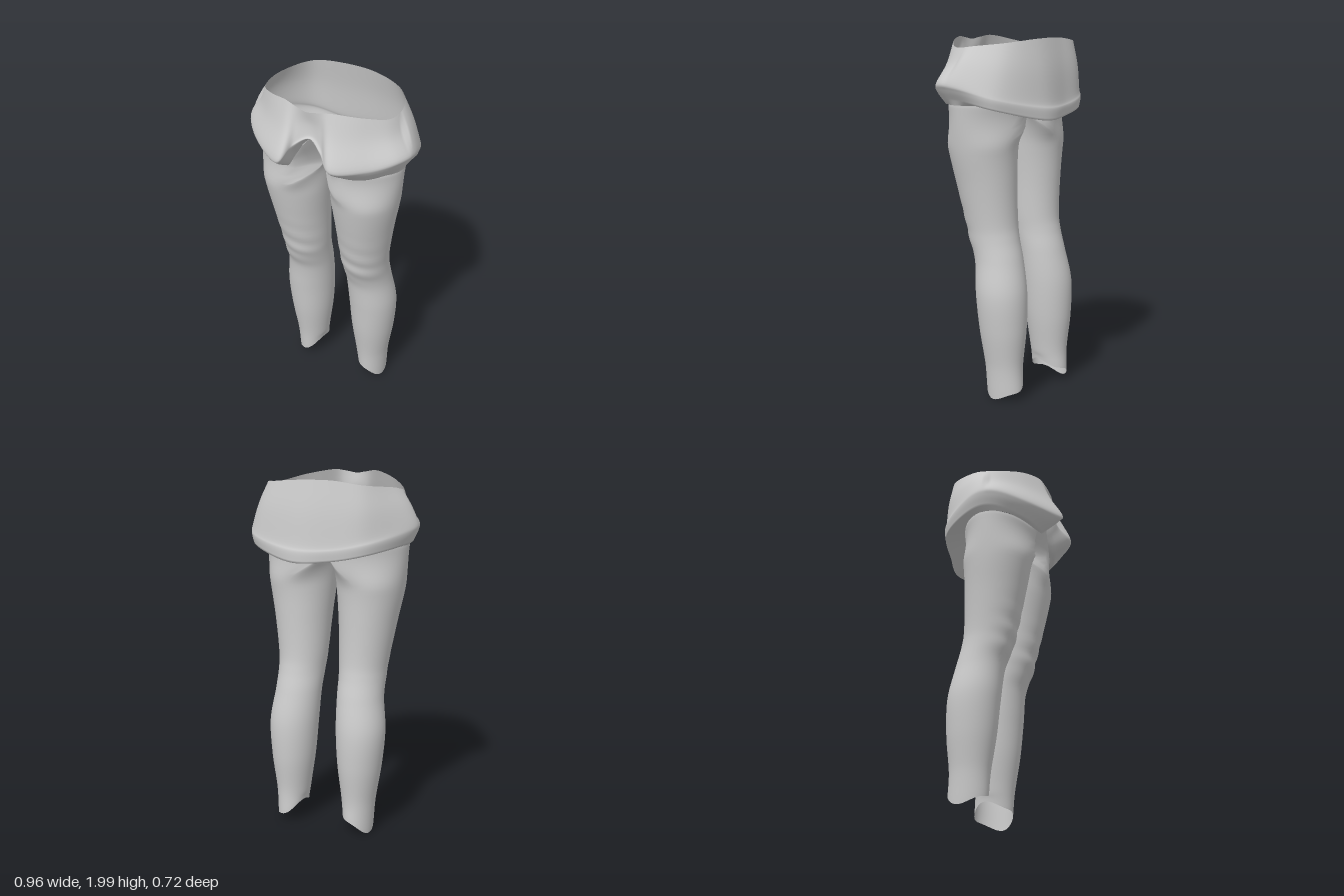
import * as THREE from 'three';

const material = new THREE.MeshStandardMaterial({ color: 0xcccccc, side: THREE.DoubleSide });

// Joins rows of points (each row a closed ring) into one smooth surface.
function loft(name, rows, keep = () => true) {
  const n = rows[0].length;
  const positions = rows.flat().flatMap((p) => [p.x, p.y, p.z]);
  const index = [];
  for (let r = 0; r < rows.length - 1; r++) {
    for (let i = 0; i < n; i++) {
      if (!keep(r, i)) continue;
      const j = (i + 1) % n;
      const a = r * n + i, b = r * n + j, c = a + n, d = b + n;
      index.push(a, b, d, a, d, c);
    }
  }
  const geometry = new THREE.BufferGeometry();
  geometry.setAttribute('position', new THREE.Float32BufferAttribute(positions, 3));
  geometry.setIndex(index);
  geometry.computeVertexNormals();
  const mesh = new THREE.Mesh(geometry, material);
  mesh.name = name;
  return mesh;
}

// Trouser sections: height, inner x, outer x, front z, back z.
const TOP = { y: 1.64, x: 0.425, front: 0.215, back: -0.235 };
const SECTIONS = [
  [0.07, 0.125, 0.29, -0.05, -0.27],
  [0.2, 0.112, 0.303, -0.04, -0.265],
  [0.4, 0.085, 0.333, -0.01, -0.282],
  [0.6, 0.07, 0.347, 0.01, -0.28],
  [0.78, 0.063, 0.325, 0.03, -0.245],
  [0.9, 0.058, 0.322, 0.075, -0.215],
  [1.0, 0.05, 0.33, 0.1, -0.2],
  [1.2, 0.038, 0.362, 0.145, -0.195],
  [1.4, 0.018, 0.4, 0.185, -0.2],
  [1.6, 0, 0.422, 0.213, -0.232],
  [TOP.y, 0, TOP.x, TOP.front, TOP.back],
];
const STEPS = 8;
const CROTCH_ROW = 9 * STEPS;
const AROUND = 48;

// The joining line of legs and hips rises to an arch at the front centre.
const archRise = (x, cos) => (cos > 0 ? 0.17 * Math.exp(-((x / 0.08) ** 2)) : 0);

// One trouser leg; above the crotch only the outer half of the ring remains.
function trouserLeg(name, side) {
  const curve = (pick) => new THREE.CatmullRomCurve3(
    SECTIONS.map((s) => new THREE.Vector3(...pick(s))), false, 'catmullrom', 0.5);
  const xs = curve(([y, a, b]) => [a, b, y]);
  const zs = curve(([, , , f, b]) => [f, b, 0]);
  const total = (SECTIONS.length - 1) * STEPS;
  const rows = [];
  for (let r = 0; r <= total; r++) {
    const { x: inner, y: outer, z: y } = xs.getPoint(r / total);
    const { x: front, y: back } = zs.getPoint(r / total);
    const hips = r >= CROTCH_ROW;
    const lift = hips ? (r - CROTCH_ROW) / STEPS : 0;
    const cx = hips ? 0 : ((inner + outer) / 2) * (1 - THREE.MathUtils.smoothstep(y, 1.4, 1.6));
    const inX = hips ? 0 : Math.max(0, inner);
    const groove = THREE.MathUtils.smoothstep(y, 1.38, 1.6) * (1 - lift);
    const ragged = 1 - THREE.MathUtils.smoothstep(y, 0.06, 0.2);
    const knee = Math.exp(-(((y - 0.98) / 0.14) ** 2));
    const row = [];
    for (let i = 0; i < AROUND; i++) {
      // Starts at the front, runs round the outside to the back, returns inside.
      const a = (i / AROUND) * Math.PI * 2;
      const s = Math.sin(a), c = Math.cos(a);
      const x = cx + s * (s > 0 ? outer - cx : cx - inX);
      // The thighs round off towards the middle.
      const hollow = groove * (c > 0 ? 0.6 : 0.35) * (1 - THREE.MathUtils.smoothstep(x, 0, 0.14));
      // Creases across the knee and a torn cuff.
      const crease = 0.004 * knee * Math.max(0, c) * Math.sin(y * 55 + s * 2 * side + side);
      const z = (front + back) / 2 + c * (1 - hollow) * (front - back) / 2 + crease;
      const dy = ragged * (-0.055 * s + 0.012 * Math.sin(3 * a + side)) + lift * archRise(x, c);
      row.push(new THREE.Vector3(side * x, y + dy, z));
    }
    rows.push(side > 0 ? row : row.reverse());
  }
  const innerFace = (i) => (side > 0 ? i >= AROUND / 2 : i < AROUND / 2 - 1 || i === AROUND - 1);
  return loft(name, rows, (r, i) => r < CROTCH_ROW || !innerFace(i));
}

// Rings of the hips, from the front centre round by +x: waist rim, widest flare, hem fold.
const WAIST = [
  [0, 1.98, 0.25], [0.07, 1.99, 0.245], [0.14, 1.995, 0.225], [0.27, 1.97, 0.15], [0.365, 1.94, 0.04],
  [0.37, 1.95, -0.1], [0.28, 1.965, -0.23], [0.1, 1.985, -0.29], [-0.1, 1.99, -0.285], [-0.27, 1.97, -0.26],
  [-0.37, 1.95, -0.1], [-0.38, 1.93, 0.03], [-0.27, 1.97, 0.15], [-0.14, 2.0, 0.22], [-0.06, 1.99, 0.243],
];
const FLARE = [
  [0.02, 1.85, 0.25], [0.09, 1.81, 0.265], [0.18, 1.74, 0.33], [0.33, 1.74, 0.22], [0.45, 1.76, 0.1],
  [0.475, 1.75, -0.05], [0.38, 1.7, -0.25], [0.12, 1.66, -0.345], [-0.1, 1.66, -0.33], [-0.3, 1.7, -0.285],
  [-0.46, 1.75, -0.09], [-0.462, 1.76, 0.05], [-0.33, 1.74, 0.21], [-0.12, 1.73, 0.355], [-0.06, 1.81, 0.28],
];
const HEM = [
  [0.02, 1.82, 0.225], [0.08, 1.74, 0.235], [0.15, 1.64, 0.225], [0.29, 1.63, 0.18], [0.41, 1.66, 0.08],
  [0.435, 1.66, -0.05], [0.39, 1.62, -0.24], [0.12, 1.56, -0.36], [-0.1, 1.57, -0.335], [-0.3, 1.61, -0.285],
  [-0.44, 1.65, -0.09], [-0.43, 1.66, 0.05], [-0.29, 1.63, 0.18], [-0.13, 1.62, 0.235], [-0.07, 1.73, 0.24],
];

function hips() {
  const count = 120;
  const [waist, flare, hem] = [WAIST, FLARE, HEM].map((ring) =>
    new THREE.CatmullRomCurve3(ring.map((p) => new THREE.Vector3(...p)), true, 'catmullrom', 0.5));
  const zMid = (TOP.front + TOP.back) / 2, zRadius = (TOP.front - TOP.back) / 2;
  const columns = [], seam = [];
  for (let i = 0; i < count; i++) {
    const t = i / count;
    const w = waist.getPoint(t), f = flare.getPoint(t), h = hem.getPoint(t);
    // Hollow above the front folds, full over the seat.
    const m = w.clone().lerp(f, 0.5);
    const swell = m.z > 0 ? 0.97 : 1.02;
    m.x *= swell;
    m.z *= swell;
    // Soft roll under the flare.
    const roll = f.clone().lerp(h, 0.42);
    roll.x *= 1.02;
    roll.z *= roll.z > 0 ? 1.09 : 1.02;
    columns.push(new THREE.CatmullRomCurve3([w, m, f, roll, h], false, 'catmullrom', 0.5));
    // The underside runs in to the top of the legs.
    const a = Math.atan2(h.x / TOP.x, (h.z - zMid) / zRadius);
    const x = TOP.x * Math.sin(a), c = Math.cos(a);
    seam.push(new THREE.Vector3(x, TOP.y + archRise(x, c), zMid + zRadius * c));
  }
  const rows = [seam];
  for (let r = 0; r <= 20; r++) rows.push(columns.map((c) => c.getPoint(1 - r / 20)));
  return loft('hips', rows);
}

export function createModel() {
  const model = new THREE.Group();
  model.name = 'trousers';
  model.add(trouserLeg('leftLeg', 1), trouserLeg('rightLeg', -1), hips());
  return model;
}
